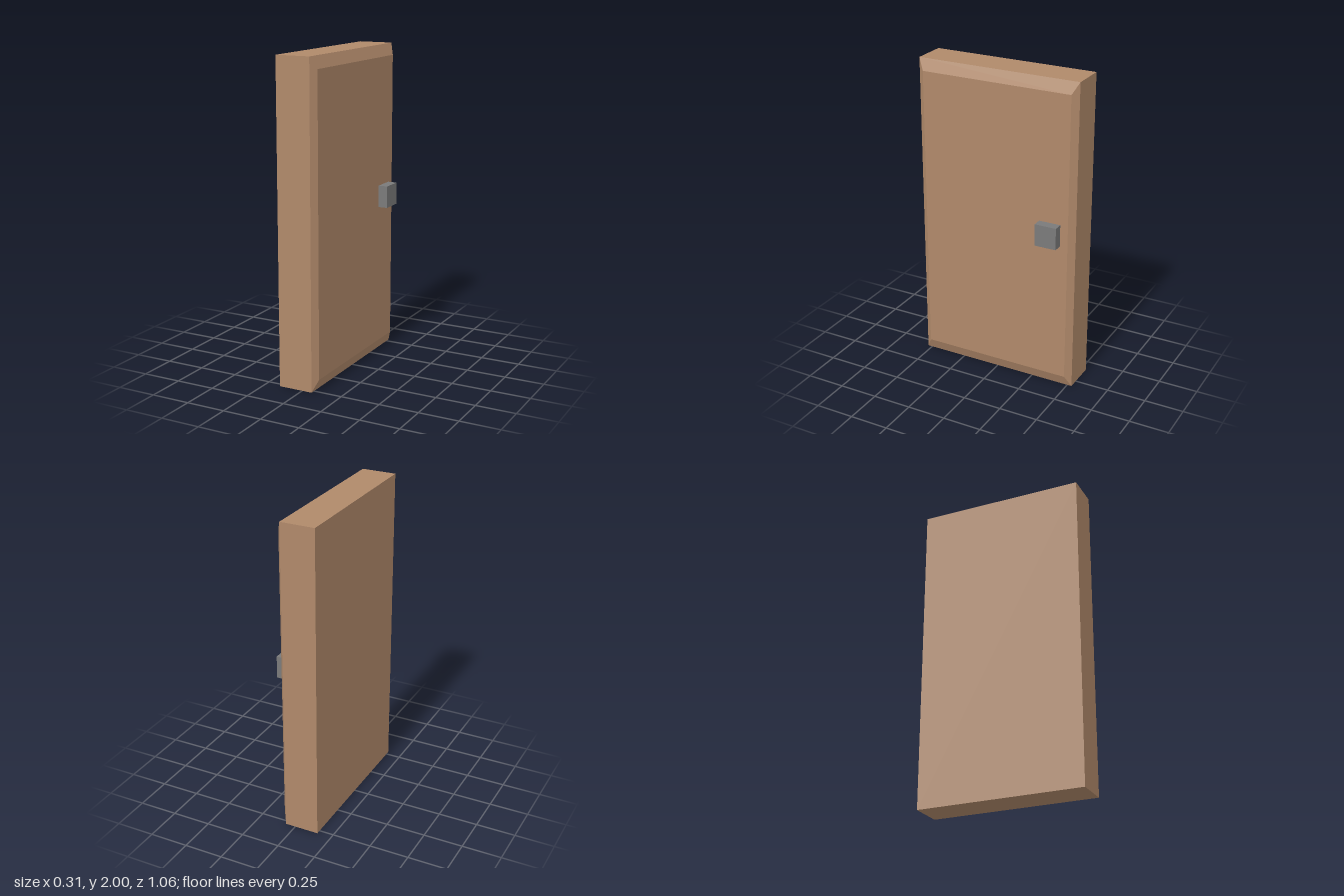
import * as THREE from 'three';

const BACK = -0.155, EDGE = 0.065, FACE = 0.095; // slab depths along x
const HEIGHT = 2, WIDTH = 1.06;
const INSET_Y = 0.073, INSET_Z = 0.04; // how far the bevel steps in

// Door slab: a box split once along x, its outer face drawn in to form the bevel
function doorSlabGeometry() {
  const box = new THREE.BoxGeometry(2, HEIGHT, WIDTH, 2, 1, 1);
  const p = box.attributes.position;
  for (let i = 0; i < p.count; i++) {
    const x = p.getX(i);
    if (x > 0.5) {
      p.setXYZ(i, FACE,
        p.getY(i) - Math.sign(p.getY(i)) * INSET_Y,
        p.getZ(i) - Math.sign(p.getZ(i)) * INSET_Z);
    } else {
      p.setX(i, x < -0.5 ? BACK : EDGE);
    }
  }
  const geometry = box.toNonIndexed();
  geometry.computeVertexNormals();
  return geometry;
}

export function createModel() {
  const door = new THREE.Group();
  door.name = 'door';

  const slab = new THREE.Mesh(
    doorSlabGeometry(),
    new THREE.MeshStandardMaterial({ color: 0xb0896a, flatShading: true }));
  slab.name = 'doorSlab';
  slab.position.y = HEIGHT / 2;

  // Square handle standing on the bevelled face
  const handle = new THREE.Mesh(
    new THREE.BoxGeometry(0.06, 0.14, 0.14),
    new THREE.MeshStandardMaterial({ color: 0x7a7a7a, flatShading: true }));
  handle.name = 'handle';
  handle.position.set(FACE + 0.03, 1.043, -0.37);

  door.add(slab, handle);
  return door;
}
